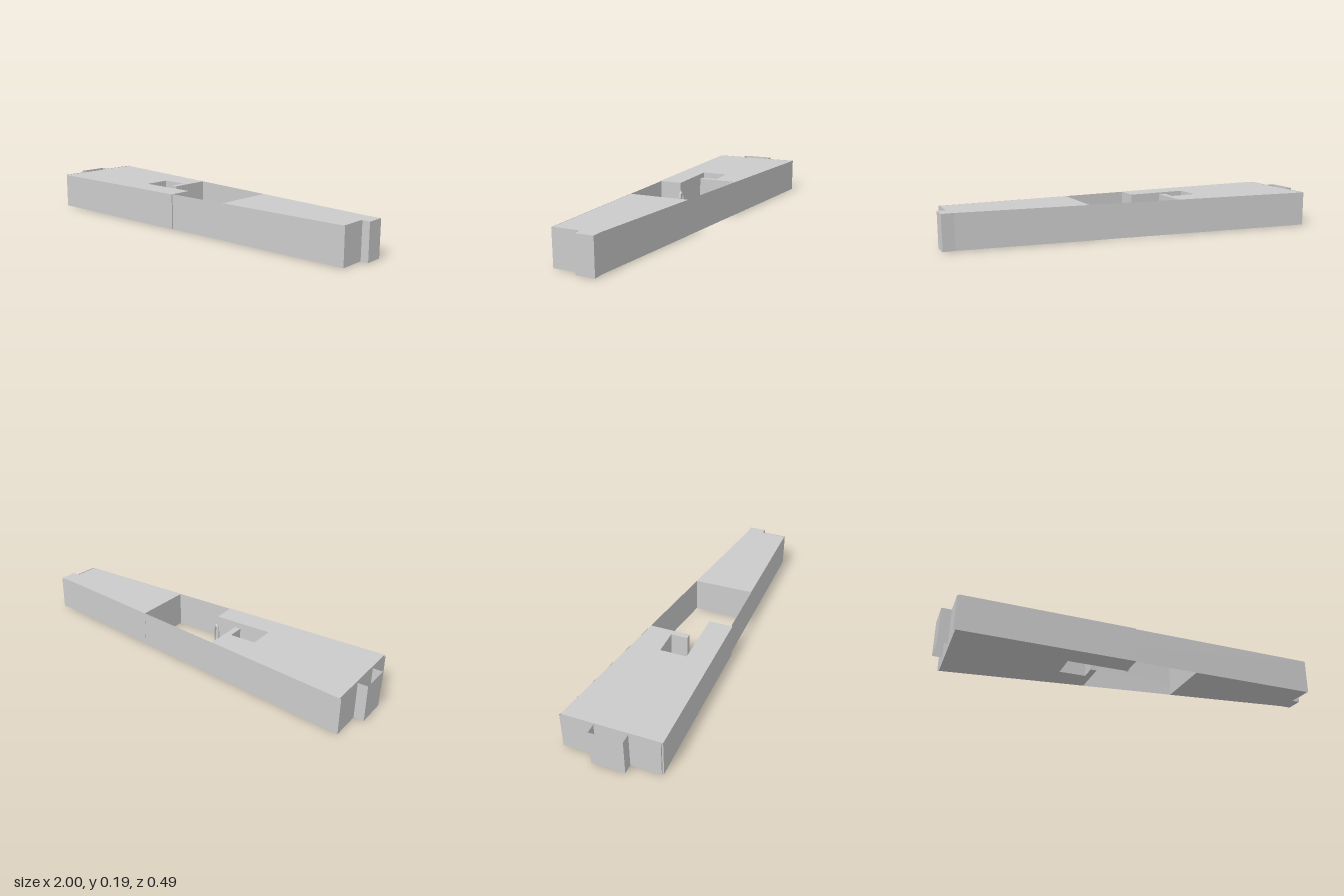
import * as THREE from 'three';

const HEIGHT = 0.183;
const material = new THREE.MeshStandardMaterial({ color: 0xcccccc, flatShading: true });
const sheetMaterial = new THREE.MeshStandardMaterial({
  color: 0xcccccc, flatShading: true, side: THREE.DoubleSide,
});

// Solid block from a floor plan given as [x, z] corners
function block(name, plan) {
  const shape = new THREE.Shape(plan.map(([x, z]) => new THREE.Vector2(x, -z)));
  const geometry = new THREE.ExtrudeGeometry(shape, { depth: HEIGHT, bevelEnabled: false });
  geometry.rotateX(-Math.PI / 2);
  const mesh = new THREE.Mesh(geometry, material);
  mesh.name = name;
  return mesh;
}

// Thin upright sheet following a closed plan of [x, z] corners
function perimeterSheet(name, plan) {
  const positions = [];
  plan.forEach(([x, z], i) => {
    const [nx, nz] = plan[(i + 1) % plan.length];
    positions.push(x, 0, z, nx, 0, nz, nx, HEIGHT, nz);
    positions.push(x, 0, z, nx, HEIGHT, nz, x, HEIGHT, z);
  });
  const geometry = new THREE.BufferGeometry();
  geometry.setAttribute('position', new THREE.Float32BufferAttribute(positions, 3));
  geometry.computeVertexNormals();
  const mesh = new THREE.Mesh(geometry, sheetMaterial);
  mesh.name = name;
  return mesh;
}

export function createModel() {
  const model = new THREE.Group();
  model.name = 'taperedBlock';

  // Wide end, with the hooked cut-out
  model.add(block('wideBlock', [
    [-0.942, 0.243], [-0.056, 0.243], [-0.056, 0.118], [-0.37, 0.118], [-0.37, -0.02],
    [-0.232, -0.02], [-0.232, 0.066], [-0.2, 0.066], [-0.2, -0.144], [-0.942, -0.242],
  ]));

  // Narrow end, with the solid tab
  model.add(block('narrowBlock', [
    [0.283, 0.234], [0.957, 0.234], [0.957, 0.097], [1, 0.097], [1, 0.004],
    [0.94, 0.004], [0.283, -0.083],
  ]));

  // Thin wall around the whole plan, with the hollow socket at the wide end
  model.add(perimeterSheet('perimeterWall', [
    [-0.95, 0.236], [0.963, 0.236], [0.963, 0.098], [1, 0.098], [1, 0.004], [0.94, 0.004],
    [-0.95, -0.243], [-0.95, -0.077], [-1, -0.077], [-1, 0.087], [-0.95, 0.087],
  ]));

  // Small upright oval ring at the tip of the arm
  const ring = new THREE.Mesh(new THREE.TorusGeometry(0.06, 0.01, 8, 24), material);
  ring.geometry.scale(0.27, 1, 0.7);
  ring.geometry.computeVertexNormals();
  ring.position.set(-0.052, 0.068, 0.114);
  ring.rotation.y = -0.35;
  ring.name = 'ovalRing';
  model.add(ring);

  return model;
}
